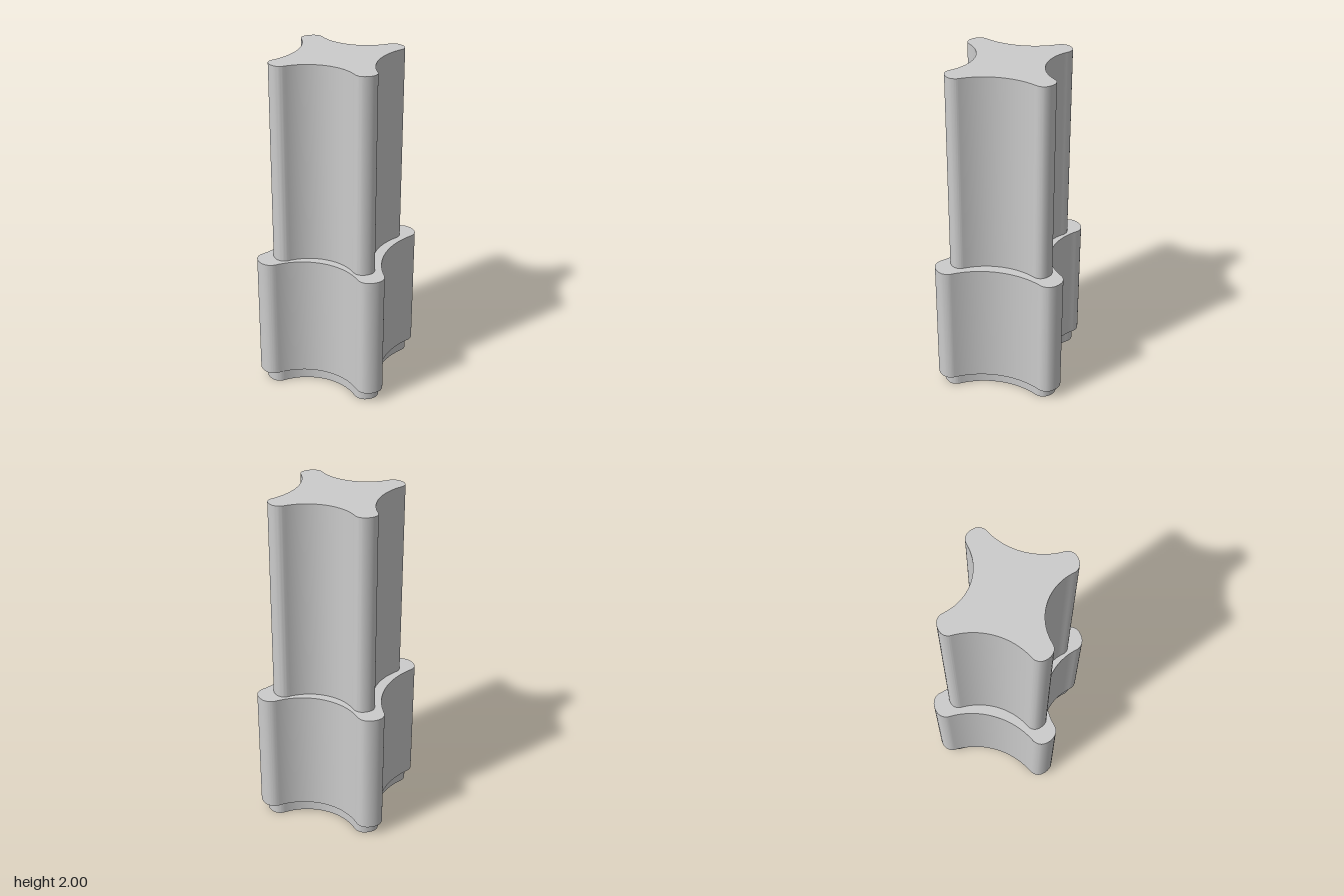
import * as THREE from 'three';
import { toCreasedNormals } from 'three/addons/utils/BufferGeometryUtils.js';

// One quarter of the four-lobed outline, from the side waist to the front waist
function quarterOutline() {
  const path = new THREE.Path();
  const sideR = 0.48, sideEnd = Math.asin(0.2625 / sideR);
  const frontR = 0.3455, frontEnd = Math.asin(0.25 / frontR);
  path.moveTo(0.3, 0);
  path.absarc(0.3 + sideR, 0, sideR, Math.PI, Math.PI - sideEnd, true);
  path.quadraticCurveTo(0.389, 0.28, 0.387, 0.305);
  path.bezierCurveTo(0.385, 0.338, 0.34, 0.378, 0.3, 0.378);
  path.quadraticCurveTo(0.272, 0.378, 0.25, 0.357);
  path.absarc(0, 0.25 + frontR, frontR, -Math.PI / 2 + frontEnd, -Math.PI / 2, true);
  return path.getPoints(10);
}

// Mirror the quarter into a closed outline
function lobedShape(scale) {
  const q = quarterOutline().map((p) => p.multiplyScalar(scale));
  const flip = (pts, sx, sy) => pts.map((p) => new THREE.Vector2(p.x * sx, p.y * sy));
  const back = [...q].reverse();
  const all = [...q, ...flip(back, -1, 1), ...flip(q, -1, -1), ...flip(back, 1, -1)];
  const pts = all.filter((p, i) => p.distanceTo(all[(i + 1) % all.length]) > 1e-4);
  return new THREE.Shape(pts);
}

export function createModel() {
  const group = new THREE.Group();
  const material = new THREE.MeshStandardMaterial({ color: 0xcccccc });

  // Stacked prisms: name, outline scale, bottom, top
  const tiers = [
    ['foot', 0.915, 0, 0.07],
    ['collar', 1, 0.07, 0.82],
    ['shaft', 0.8, 0.82, 2],
  ];
  for (const [name, scale, bottom, top] of tiers) {
    const geometry = new THREE.ExtrudeGeometry(lobedShape(scale), { depth: top - bottom, bevelEnabled: false });
    geometry.rotateX(-Math.PI / 2);
    const mesh = new THREE.Mesh(toCreasedNormals(geometry, Math.PI / 6), material);
    mesh.name = name;
    mesh.position.y = bottom;
    group.add(mesh);
  }
  return group;
}
